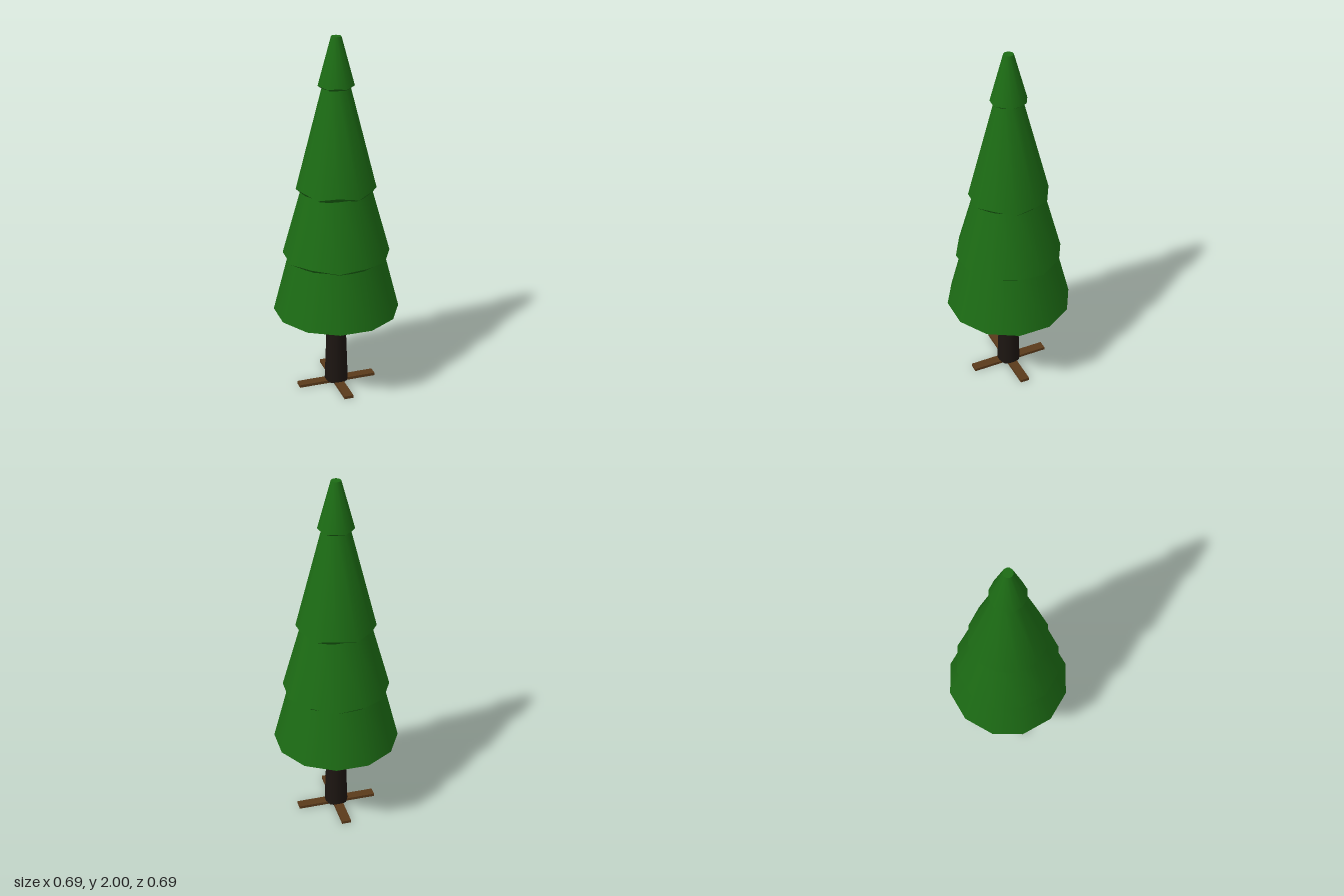
import * as THREE from 'three';

const SIDES = 12;

const material = (color) => new THREE.MeshStandardMaterial({ color });

// Ring of faces between two [radius, height] points; rimIndex picks the end that zigzags.
function ring(from, to, rimIndex, zigzag) {
  const points = [from, to].map(([r, y]) => new THREE.Vector2(r, y));
  const geometry = new THREE.LatheGeometry(points, SIDES);
  const position = geometry.attributes.position;
  for (let i = 0; i <= SIDES; i++) {
    const v = i * 2 + rimIndex;
    position.setY(v, position.getY(v) + (i % 2 ? zigzag : -zigzag));
  }
  return geometry;
}

// One skirt of foliage: sloping side and a shallow conical underside.
function tier({ name, rim, top, under, zigzag }, green) {
  const group = new THREE.Group();
  group.name = name;
  const side = new THREE.Mesh(ring(rim, top, 0, zigzag), green);
  side.name = name + 'Side';
  const underside = new THREE.Mesh(ring(under, rim, 1, zigzag), green);
  underside.name = name + 'Underside';
  group.add(side, underside);
  return group;
}

export function createModel() {
  const tree = new THREE.Group();
  tree.name = 'tree';
  const green = material(0x1c6b14);
  const bark = material(0x1c1511);
  const wood = material(0x5a3a1a);

  // Foliage, from the bottom up
  const tiers = [
    { name: 'lowestTier', rim: [0.347, 0.465], top: [0.258, 0.81], under: [0, 0.397], zigzag: 0 },
    { name: 'lowerTier', rim: [0.292, 0.8], top: [0.185, 1.19], under: [0.25, 0.77], zigzag: -0.006 },
    { name: 'upperTier', rim: [0.217, 1.182], top: [0.071, 1.75], under: [0.175, 1.148], zigzag: 0.01 },
    { name: 'topTier', rim: [0.097, 1.743], top: [0.027, 2], under: [0.065, 1.722], zigzag: 0.004 },
  ];
  for (const t of tiers) tree.add(tier(t, green));

  // Flat tip
  const tip = new THREE.Mesh(ring([0.027, 2], [0, 2], 0, 0), green);
  tip.name = 'tip';
  tree.add(tip);

  // Trunk
  const trunk = new THREE.Mesh(new THREE.CylinderGeometry(0.051, 0.066, 0.42, SIDES), bark);
  trunk.name = 'trunk';
  trunk.position.y = 0.22;
  tree.add(trunk);

  // Crossed planks of the stand, set diagonally
  for (const turn of [1, -1]) {
    const plank = new THREE.Mesh(new THREE.BoxGeometry(0.447, 0.016, 0.052), wood);
    plank.name = turn > 0 ? 'standPlankA' : 'standPlankB';
    plank.position.y = 0.008;
    plank.rotation.y = turn * Math.PI / 4;
    tree.add(plank);
  }
  return tree;
}
